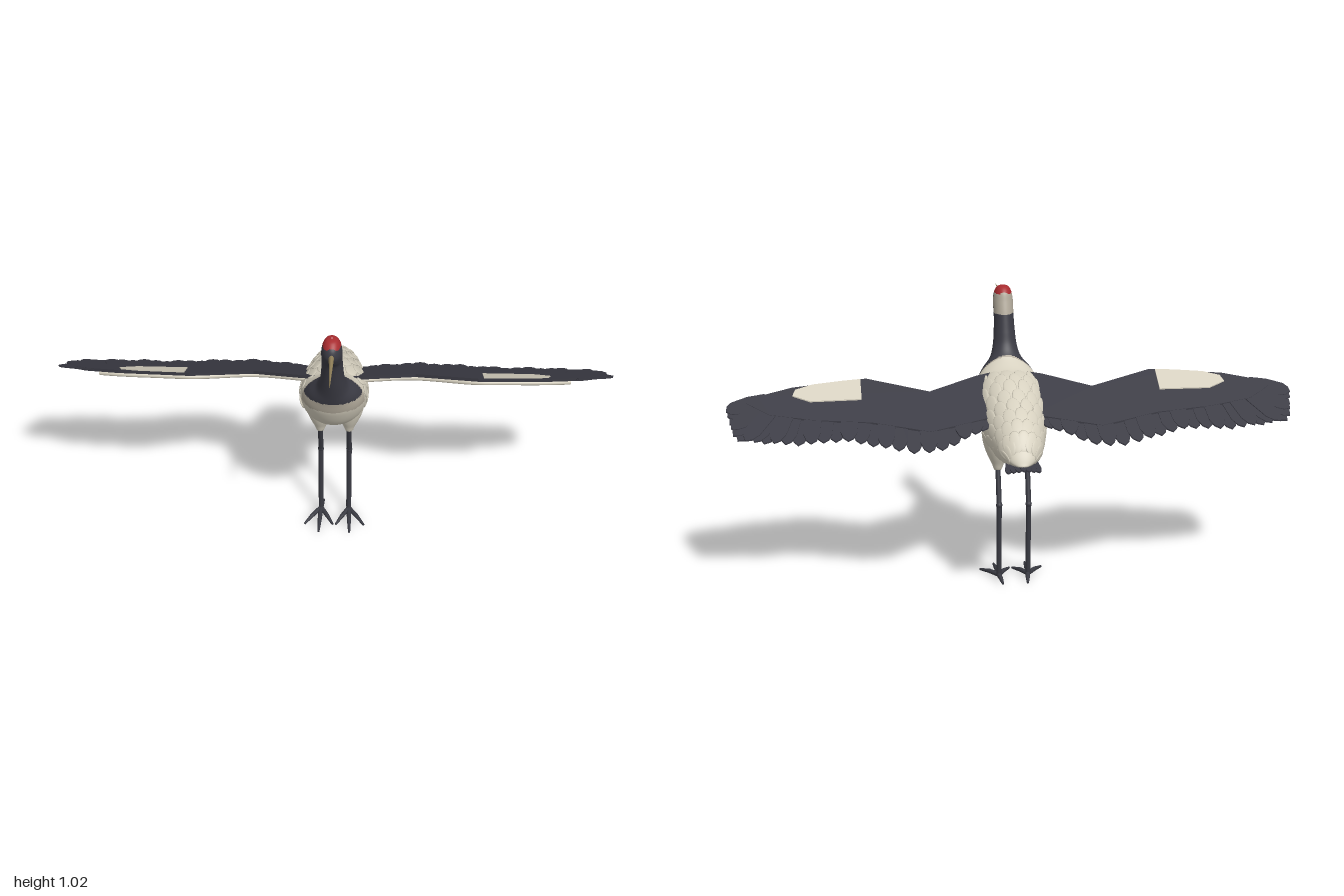
import * as THREE from 'three';

const mat = (name, color) => {
  const m = new THREE.MeshStandardMaterial({ color });
  m.name = name;
  return m;
};

export function createModel() {
  const white = mat('whitePlumage', 0xd6d0bf);
  const black = mat('blackPlumage', 0x3b3b44);
  const grey = mat('greyPlumage', 0xb2aa9b);
  const red = mat('redCrown', 0xa82c30);
  const horn = mat('hornBill', 0x8f7f58);
  const skin = mat('legSkin', 0x393a42);
  const model = new THREE.Group();
  model.name = 'crane';

  const group = (name, parent = model) => {
    const g = new THREE.Group();
    g.name = name;
    parent.add(g);
    return g;
  };
  const add = (parent, name, geo, material) => {
    const m = new THREE.Mesh(geo, material);
    m.name = name;
    parent.add(m);
    return m;
  };

  // Head, neck and body: one loft. Rows are front z, front y, back z, back y, half width
  const sections = [
    [.193, 1.017, .187, 1.017, .002], [.215, 1.009, .165, 1.012, .02], [.235, .988, .148, .995, .031],
    [.24, .96, .137, .965, .036], [.225, .932, .125, .93, .036], [.205, .905, .115, .895, .036],
    [.19, .86, .105, .86, .038], [.175, .80, .092, .82, .043], [.16, .745, .072, .79, .056],
    [.148, .70, .04, .765, .086], [.13, .645, 0, .747, .108], [.09, .58, -.06, .742, .118],
    [.03, .533, -.11, .73, .12], [-.05, .49, -.17, .705, .117], [-.14, .468, -.23, .68, .105],
    [-.24, .475, -.29, .65, .088], [-.32, .49, -.345, .61, .068], [-.37, .508, -.385, .56, .045],
    [-.395, .517, -.402, .53, .02], [-.403, .52, -.405, .523, .002],
  ];
  const spline = (pts) => new THREE.CatmullRomCurve3(pts, false, 'catmullrom', 0.5);
  const front = spline(sections.map((s) => new THREE.Vector3(s[4], s[1], s[0])));
  const back = spline(sections.map((s) => new THREE.Vector3(0, s[3], s[2])));
  const bodyPoint = (u, a) => {
    const f = front.getPoint(u), b = back.getPoint(u), c = Math.cos(a) / 2;
    return new THREE.Vector3(Math.sin(a) * f.x,
      (f.y + b.y) / 2 + c * (f.y - b.y), (f.z + b.z) / 2 + c * (f.z - b.z));
  };
  // Plumage zones: 0 white, 1 black, 2 grey, 3 red
  const zone = ({ y, z }) => {
    if (y > .99 && z > .15 && z < .228) return 3;
    if (y > .92 && z < .188 - Math.max(0, .95 - y) * .8) return 2;
    if (y > .708 && z > .068) return 1;
    if (y > .665 && z > .062) return 2;
    return 0;
  };
  const ROWS = 200, SIDES = 64, pos = [], faces = [[], [], [], []];
  for (let i = 0; i <= ROWS; i++)
    for (let j = 0; j < SIDES; j++) pos.push(...bodyPoint(i / ROWS, j / SIDES * Math.PI * 2).toArray());
  for (let i = 0; i < ROWS; i++)
    for (let j = 0; j < SIDES; j++) {
      const a = i * SIDES + j, b = i * SIDES + (j + 1) % SIDES, c = a + SIDES, d = b + SIDES;
      const mid = bodyPoint((i + .5) / ROWS, (j + .5) / SIDES * Math.PI * 2);
      faces[zone(mid)].push(a, c, b, b, c, d);
    }
  const bodyGeo = new THREE.BufferGeometry();
  bodyGeo.setAttribute('position', new THREE.Float32BufferAttribute(pos, 3));
  bodyGeo.setIndex(faces.flat());
  let start = 0;
  faces.forEach((f, k) => { bodyGeo.addGroup(start, f.length, k); start += f.length; });
  bodyGeo.computeVertexNormals();
  add(model, 'headNeckAndBody', bodyGeo, [white, black, grey, red]);

  // Overlapping contour feathers lying on the body
  const contour = group('contourFeathers');
  const scale = new THREE.SphereGeometry(1, 14, 8);
  for (let r = 0; r < 8; r++)
    for (let k = 0; k < 9; k++) {
      const u = .56 + r * .042, a = Math.PI * (.4 + 1.2 * (k + (r % 2) * .5) / 8.5);
      const p = bodyPoint(u, a);
      if (p.z > .03) continue;
      const du = bodyPoint(u + .01, a).sub(p).normalize();
      const n = du.clone().cross(bodyPoint(u, a + .02).sub(p)).normalize();
      const side = n.clone().cross(du).normalize();
      const m = add(contour, 'contourFeather', scale, white);
      m.quaternion.setFromRotationMatrix(new THREE.Matrix4().makeBasis(side, n, du));
      m.position.copy(p).addScaledVector(n, -.001);
      m.rotateX(.06);
      m.scale.set(.024, .005, .042);
    }

  // Bill
  const bill = add(model, 'bill', new THREE.ConeGeometry(.013, .195, 12), horn);
  bill.rotation.x = Math.PI / 2;
  bill.position.set(0, .967, .322);
  bill.scale.x = .75;

  // Thin plate in a plane that drops towards the back; points are [x, z]
  const plate = (pts, base, slope, lift, depth) => {
    const shape = new THREE.Shape(pts.map(([x, z]) => new THREE.Vector2(x, -z)));
    const g = new THREE.ExtrudeGeometry(shape, { depth, bevelEnabled: false });
    g.rotateX(-Math.PI / 2);
    const p = g.attributes.position;
    for (let i = 0; i < p.count; i++) p.setY(i, p.getY(i) + base + lift + slope * p.getZ(i));
    g.computeVertexNormals();
    return g;
  };
  // Pointed feather outline from root to tip
  const feather = (a, b, w) => {
    const d = new THREE.Vector2(b.x - a.x, b.y - a.y), n = new THREE.Vector2(-d.y, d.x).normalize();
    const at = (t, k) => [a.x + d.x * t + n.x * w * k, a.y + d.y * t + n.y * w * k];
    return [at(0, -.3), at(.4, -.5), at(.8, -.48), at(.93, -.3), at(1, 0),
      at(.93, .3), at(.8, .48), at(.4, .5), at(0, .3)];
  };
  const curve2 = (pts) => new THREE.SplineCurve(pts.map(([x, z]) => new THREE.Vector2(x, z)));

  // Wings
  const tips = curve2([[.12, -.235], [.2, -.28], [.3, -.325], [.42, -.31], [.52, -.28], [.62, -.26],
    [.72, -.27], [.82, -.262], [.9, -.25], [.965, -.235], [.985, -.175], [1, -.115]]);
  const roots = curve2([[.1, -.06], [.2, -.09], [.29, -.12], [.4, -.1], [.5, -.08], [.6, -.07],
    [.7, -.06], [.76, -.06], [.8, -.06], [.82, -.06], [.84, -.06], [.86, -.06]]);
  const coverts = [[.06, .02], [.12, .005], [.29, -.06], [.51, .01], [.6, 0], [.77, -.02], [.89, -.055],
    [.93, -.085], [.85, -.14], [.7, -.17], [.5, -.19], [.3, -.24], [.06, -.18]];
  const patch = [[.53, -.088], [.53, .004], [.6, -.002], [.7, -.014], [.76, -.035], [.77, -.062], [.71, -.09]];
  const edge = [[.09, -.005], [.28, -.07], [.5, -.003], [.6, -.01], [.77, -.03], [.84, -.05]];
  for (const s of [1, -1]) {
    const wing = group(s > 0 ? 'leftWing' : 'rightWing');
    const flip = (pts) => pts.map(([x, z]) => [x * s, z]);
    for (let i = 0; i < 27; i++) {
      const t = i / 26;
      const pts = feather(roots.getPoint(t), tips.getPoint(t), .06);
      add(wing, 'flightFeather', plate(flip(pts), .72, .5, -.003 + (i % 3) * .0025, .005), black);
    }
    add(wing, 'wingCoverts', plate(flip(coverts), .72, .5, -.005, .013), black);
    add(wing, 'wingPatch', plate(flip(patch), .72, .5, .007, .005), white);
    const path = new THREE.CatmullRomCurve3(
      edge.map(([x, z]) => new THREE.Vector3(x * s, .709 + .5 * z, z)));
    add(wing, 'wingLeadingEdge', new THREE.TubeGeometry(path, 40, .009, 8), white);
  }

  // Tail
  const tail = group('tail');
  for (let i = -3; i <= 3; i++) {
    const pts = feather({ x: i * .012, y: -.33 }, { x: i * .018, y: -.42 + Math.abs(i) * .002 }, .026);
    add(tail, 'tailFeather', plate(pts, .635, .3, -Math.abs(i) * .003, .006), black);
  }

  // Legs
  const limb = (parent, name, a, b, ra, rb) => {
    const va = new THREE.Vector3(...a), vb = new THREE.Vector3(...b), d = vb.clone().sub(va);
    const m = add(parent, name, new THREE.CylinderGeometry(rb, ra, d.length(), 12), skin);
    m.position.copy(va).addScaledVector(d, .5);
    m.quaternion.setFromUnitVectors(new THREE.Vector3(0, 1, 0), d.normalize());
  };
  const thighProfile = [[.001, .408], [.013, .412], [.022, .435], [.036, .465], [.05, .505], [.056, .55], [.04, .6]]
    .map(([r, y]) => new THREE.Vector2(r, y));
  for (const s of [1, -1]) {
    const leg = group(s > 0 ? 'leftLeg' : 'rightLeg'), x = .053 * s;
    const thigh = add(leg, 'thigh', new THREE.LatheGeometry(new THREE.SplineCurve(thighProfile).getPoints(24), 28), white);
    thigh.position.set(x, 0, -.1);
    limb(leg, 'upperLeg', [x, .43, -.1], [x, .29, -.141], .009, .0095);
    limb(leg, 'lowerLeg', [x, .29, -.141], [x, .015, -.125], .0095, .009);
    const joint = add(leg, 'legJoint', new THREE.SphereGeometry(.0115, 12, 8), skin);
    joint.position.set(x, .29, -.141);
    // Toes arch up to the ankle, then down to the claw
    for (const [tx, tz] of [[.058, .005], [.006, -.04], [.112, -.04], [.045, -.187]]) {
      const mx = (.053 + tx) / 2 * s, mz = (tz - .125) / 2;
      limb(leg, 'toe', [x, .016, -.125], [mx, .014, mz], .009, .008);
      limb(leg, 'toeTip', [mx, .014, mz], [tx * s, .005, tz], .008, .004);
    }
  }
  return model;
}
